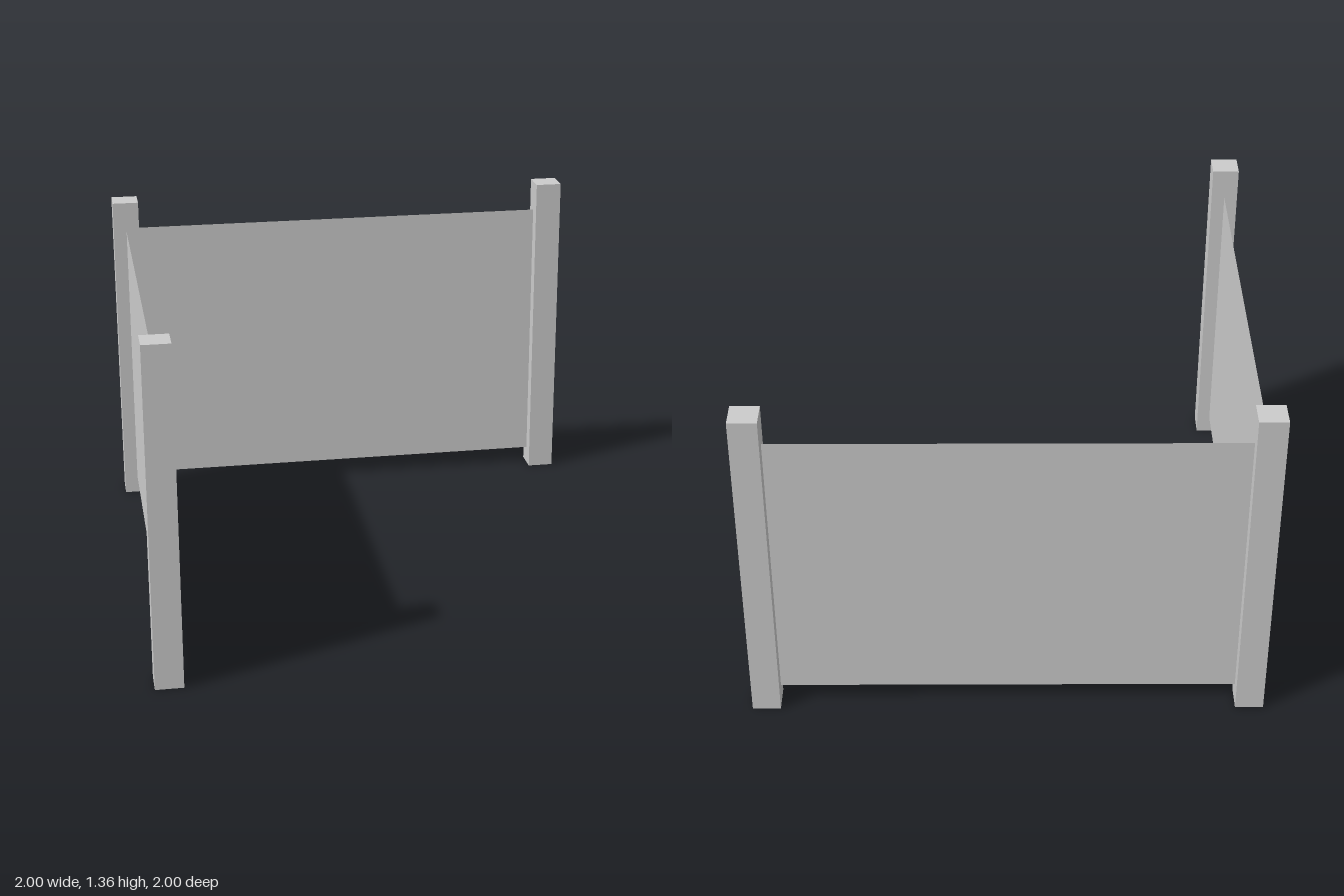
import * as THREE from 'three';

export function createModel() {
  const group = new THREE.Group();
  group.name = 'cornerFence';
  const postMaterial = new THREE.MeshStandardMaterial({ color: 0xcccccc, flatShading: true });
  const panelMaterial = new THREE.MeshStandardMaterial({ color: 0xcccccc, side: THREE.DoubleSide });

  const postWidth = 0.11, postHeight = 1.36;
  const offset = 1 - postWidth / 2; // post centre line
  const panelBottom = 0.073, panelTop = 1.232;
  const panelLength = 2 - 2 * postWidth;

  const add = (name, geometry, material, x, y, z) => {
    const mesh = new THREE.Mesh(geometry, material);
    mesh.name = name;
    mesh.position.set(x, y, z);
    group.add(mesh);
    return mesh;
  };

  // Three square posts: the corner and the two free ends
  const postGeometry = new THREE.BoxGeometry(postWidth, postHeight, postWidth);
  for (const [name, x, z] of [
    ['cornerPost', -offset, -offset],
    ['backEndPost', offset, -offset],
    ['frontEndPost', -offset, offset],
  ]) add(name, postGeometry, postMaterial, x, postHeight / 2, z);

  // Thin sheets spanning between the posts
  const panelGeometry = new THREE.PlaneGeometry(panelLength, panelTop - panelBottom);
  const panelY = (panelTop + panelBottom) / 2;
  add('backPanel', panelGeometry, panelMaterial, 0, panelY, -offset);
  add('sidePanel', panelGeometry, panelMaterial, -offset, panelY, 0).rotation.y = Math.PI / 2;

  return group;
}
